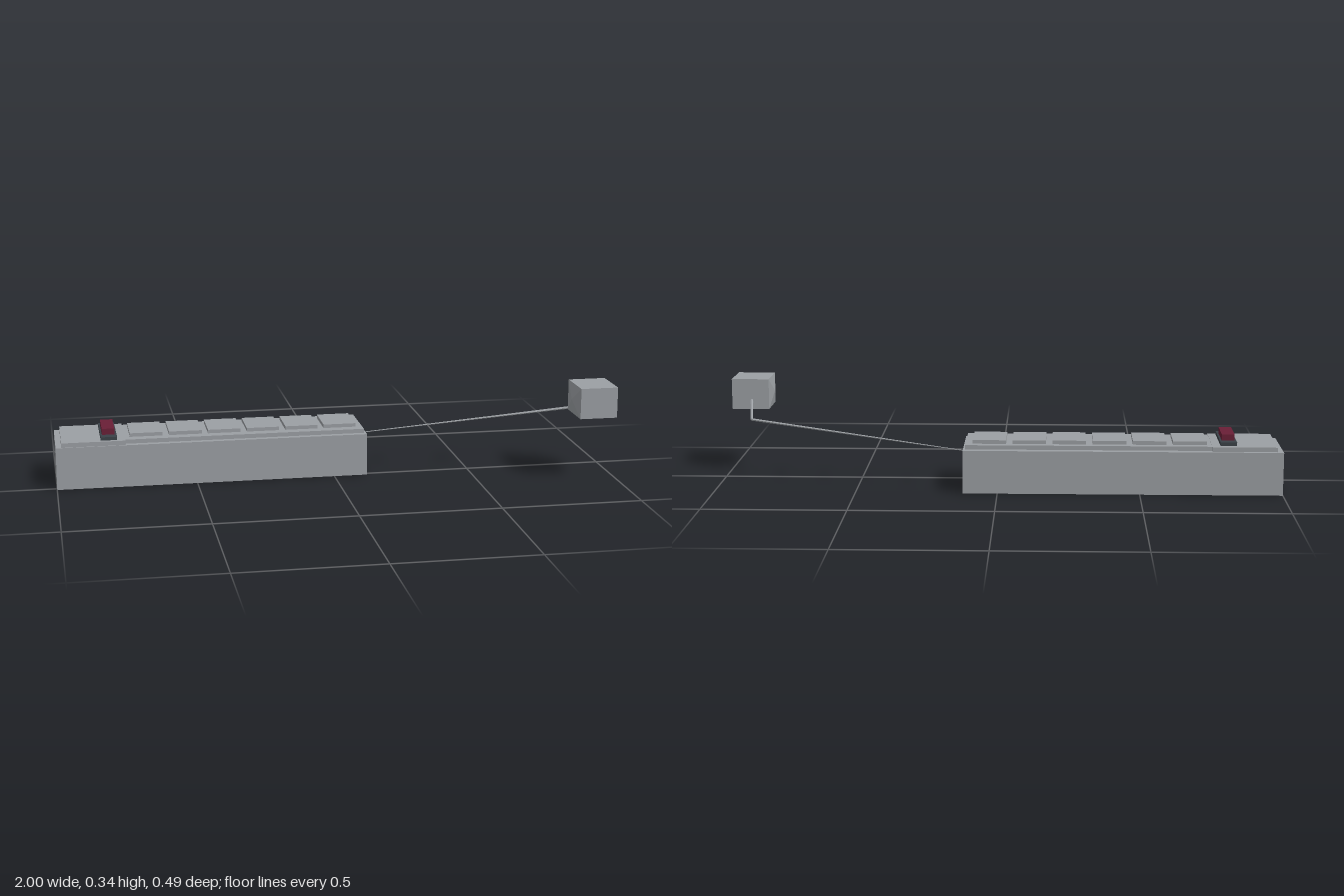
import * as THREE from 'three';

export function createModel() {
  const model = new THREE.Group();
  const grey = new THREE.MeshStandardMaterial({ color: 0x9b9fa3, flatShading: true });
  grey.name = 'grey plastic';
  const dark = new THREE.MeshStandardMaterial({ color: 0x3a4147 });
  dark.name = 'dark frame';
  const red = new THREE.MeshStandardMaterial({ color: 0x6a1f36 });
  red.name = 'dark red switch';

  const add = (name, geometry, material) => {
    const mesh = new THREE.Mesh(geometry, material);
    mesh.name = name;
    model.add(mesh);
    return mesh;
  };
  // Box given by its limits on each axis
  const box = (name, material, [x0, x1], [y0, y1], [z0, z1]) =>
    add(name, new THREE.BoxGeometry(x1 - x0, y1 - y0, z1 - z0), material)
      .position.set((x0 + x1) / 2, (y0 + y1) / 2, (z0 + z1) / 2);

  // Strip body with its stepped cover
  box('body', grey, [-1, 0.121], [0, 0.153], [-0.243, 0.016]);
  box('switchCover', grey, [-0.98, -0.753], [0.15, 0.169], [-0.231, 0.011]);
  box('socketCover', grey, [-0.754, 0.113], [0.15, 0.168], [-0.217, -0.005]);

  // Six raised sockets
  for (let i = 0; i < 6; i++) {
    const x = -0.676 + i * 0.141;
    box('socket' + (i + 1), grey, [x - 0.059, x + 0.059], [0.165, 0.181], [-0.191, -0.041]);
  }

  // Rocker switch
  box('switchFrame', dark, [-0.84, -0.782], [0.165, 0.181], [-0.205, -0.003]);
  box('switchRocker', red, [-0.834, -0.789], [0.18, 0.203], [-0.171, -0.037]);

  // Thin cable, swelling towards the bend
  const points = [[0.115, 0.125, -0.113, 0.0015], [0.9, 0.214, -0.008, 0.005], [0.917, 0.267, 0.097, 0.006]];
  for (let i = 0; i < 2; i++) {
    const a = new THREE.Vector3(...points[i].slice(0, 3));
    const b = new THREE.Vector3(...points[i + 1].slice(0, 3));
    const cable = add('cable' + (i + 1),
      new THREE.CylinderGeometry(points[i + 1][3], points[i][3], a.distanceTo(b), 6), grey);
    cable.position.lerpVectors(a, b, 0.5);
    cable.quaternion.setFromUnitVectors(new THREE.Vector3(0, 1, 0), b.clone().sub(a).normalize());
  }

  // Plug block: slightly bulging sides and a wedge below
  const X0 = 0.852, X1 = 0.988, Y0 = 0.234, Y1 = 0.345, Z0 = 0.093, Z1 = 0.245;
  const corners = [
    X0, Y0, Z0, X1, Y0, Z0, X1, Y1, Z0, X0, Y1, Z0,
    X0, Y0, Z1, X1, Y0, Z1, X1, Y1, Z1, X0, Y1, Z1,
    X0 - 0.011, 0.29, 0.169, X1 + 0.011, 0.29, 0.169,
    0.88, 0.214, Z0, 0.96, 0.214, Z0, 0.96, 0.214, 0.17, 0.88, 0.214, 0.17,
  ];
  const faces = [
    4, 5, 6, 4, 6, 7, 1, 0, 3, 1, 3, 2, 7, 6, 2, 7, 2, 3,
    8, 0, 4, 8, 4, 7, 8, 7, 3, 8, 3, 0,
    9, 5, 1, 9, 6, 5, 9, 2, 6, 9, 1, 2,
    10, 11, 12, 10, 12, 13, 0, 1, 11, 0, 11, 10,
    13, 12, 5, 13, 5, 4, 0, 10, 13, 0, 13, 4, 1, 12, 11, 1, 5, 12,
  ];
  // Wedge back faces point to -z
  for (let i = 48; i < 54; i += 3) [faces[i + 1], faces[i + 2]] = [faces[i + 2], faces[i + 1]];
  const plug = new THREE.BufferGeometry();
  plug.setAttribute('position', new THREE.Float32BufferAttribute(corners, 3));
  plug.setIndex(faces);
  const plugFlat = plug.toNonIndexed();
  plugFlat.computeVertexNormals();
  add('plug', plugFlat, grey);

  return model;
}
